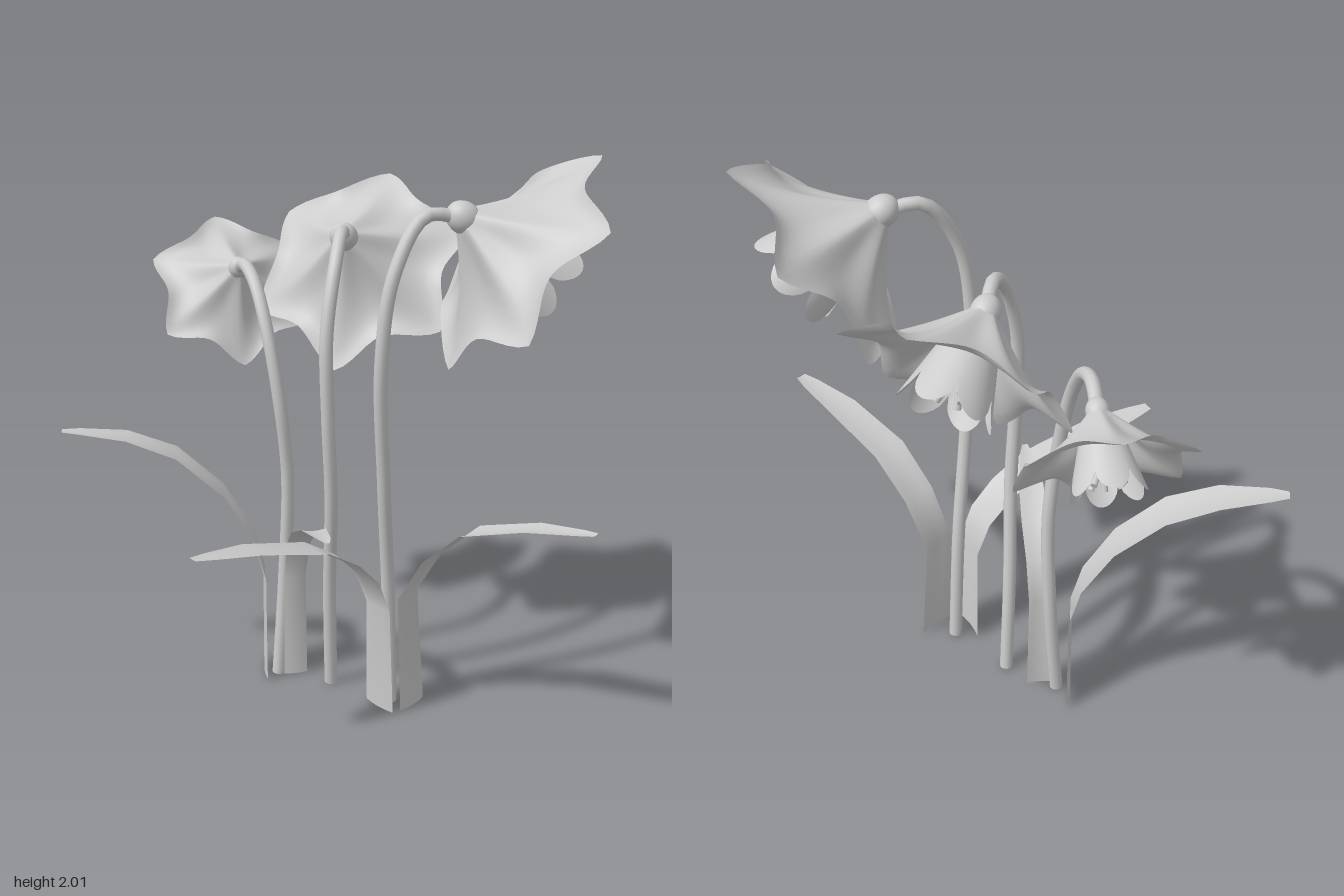
import * as THREE from 'three';

const V = (a) => new THREE.Vector3(...a);
const material = new THREE.MeshStandardMaterial({ color: 0xcccccc });
const thin = new THREE.MeshStandardMaterial({ color: 0xcccccc, side: THREE.DoubleSide });

function addMesh(parent, name, geometry, mat = material) {
  const mesh = new THREE.Mesh(geometry, mat);
  mesh.name = name;
  parent.add(mesh);
  return mesh;
}

// Grid surface from a rule point(u, v); closed in u when wrap is set
function surface(nu, nv, wrap, point) {
  const cols = wrap ? nu : nu + 1;
  const positions = [], index = [];
  for (let j = 0; j <= nv; j++) {
    for (let i = 0; i < cols; i++) positions.push(...point(i / nu, j / nv));
  }
  for (let j = 0; j < nv; j++) {
    for (let i = 0; i < nu; i++) {
      const a = j * cols + i, b = j * cols + (i + 1) % cols;
      index.push(a, a + cols, b, b, a + cols, b + cols);
    }
  }
  const g = new THREE.BufferGeometry();
  g.setAttribute('position', new THREE.Float32BufferAttribute(positions, 3));
  g.setIndex(index);
  g.computeVertexNormals();
  return g;
}

// Six-pointed outer trumpet, unit radius, opening along +y
function corollaGeometry() {
  return surface(72, 12, true, (u, t) => {
    const a = u * Math.PI * 2;
    const p = 1 - Math.abs(Math.sin(3 * a)) ** 1.3;
    const r = 0.1 + (0.69 + 0.21 * p) * t;
    const h = 0.63 * (1 - (1 - t) ** (1.6 - 0.2 * p)) - 0.15 * (1 - p) * t * t;
    return [r * Math.cos(a), h, r * Math.sin(a)];
  });
}

// Inner cup with six rounded lobes
function coronaGeometry() {
  return surface(72, 8, true, (u, t) => {
    const a = u * Math.PI * 2;
    const lobe = Math.abs(Math.cos(3 * a)) ** 0.6;
    const r = 0.18 + (0.16 + 0.06 * lobe) * t;
    const h = 0.12 + (0.55 + 0.22 * lobe) * t;
    return [r * Math.cos(a), h, r * Math.sin(a)];
  });
}

// Flower placed at its ball, facing axis, with one petal towards tip
function makeFlower(name, base, axis, tip, radius) {
  const flower = new THREE.Group();
  flower.name = name;
  addMesh(flower, 'petals', corollaGeometry(), thin);
  addMesh(flower, 'innerCup', coronaGeometry(), thin);
  const ovary = addMesh(flower, 'ovary', new THREE.SphereGeometry(0.125, 20, 14));
  ovary.scale.y = 1.2;

  // Stamens: a curved filament and a short anther each
  for (let i = 0; i < 6; i++) {
    const stamen = new THREE.Group();
    stamen.name = 'stamen';
    stamen.rotation.y = (i / 6) * Math.PI * 2;
    const path = new THREE.CatmullRomCurve3([V([0.03, 0.05, 0]), V([0.06, 0.42, 0]), V([0.14, 0.7, 0])]);
    addMesh(stamen, 'filament', new THREE.TubeGeometry(path, 6, 0.015, 6));
    const anther = addMesh(stamen, 'anther', new THREE.CylinderGeometry(0.036, 0.036, 0.13, 8));
    anther.position.set(0.15, 0.72, 0);
    anther.rotation.z = -0.5;
    flower.add(stamen);
  }

  const y = V(axis).normalize();
  const x = V(tip).addScaledVector(y, -V(tip).dot(y)).normalize();
  const z = new THREE.Vector3().crossVectors(x, y);
  flower.quaternion.setFromRotationMatrix(new THREE.Matrix4().makeBasis(x, y, z));
  flower.position.set(...base);
  flower.scale.setScalar(radius);
  return flower;
}

// Slightly channelled strap leaf: path holds [outward distance, height, width]
function makeLeaf(name, base, dir, path) {
  const d = V([dir[0], 0, dir[1]]).normalize();
  const side = new THREE.Vector3(d.z, 0, -d.x);
  const n = path.length - 1;
  const geometry = surface(4, n, false, (u, t) => {
    const k = Math.round(t * n);
    const [out, h, w] = path[k];
    const a = path[Math.max(k - 1, 0)], b = path[Math.min(k + 1, n)];
    const len = Math.hypot(b[0] - a[0], b[1] - a[1]);
    const s = u * 2 - 1;
    const lift = 0.06 * w * (s * s - 0.5);
    const o = out - ((b[1] - a[1]) / len) * lift;
    const p = V(base).addScaledVector(d, o).addScaledVector(side, (s * w) / 2);
    return [p.x, Math.max(0, h + ((b[0] - a[0]) / len) * lift), p.z];
  });
  return addMesh(new THREE.Group(), name, geometry, thin);
}

export function createModel() {
  const model = new THREE.Group();
  model.name = 'floweringPlant';

  // Stems end at the flower balls
  const plants = [
    { name: 'right', axis: [-0.62, -0.615, -0.49], tip: [-0.155, 0.245, -0.11], radius: 0.315,
      stem: [[-0.31, 0, -0.06], [-0.3, 0.4, -0.09], [-0.275, 0.8, -0.08], [-0.28, 1.1, -0.04],
        [-0.34, 1.35, -0.05], [-0.43, 1.5, -0.1], [-0.52, 1.545, -0.16], [-0.61, 1.51, -0.235]] },
    { name: 'middle', axis: [-0.2, -0.63, -0.75], tip: [-0.05, 0.32, -0.25], radius: 0.41,
      stem: [[-0.1, 0, -0.11], [-0.07, 0.4, -0.06], [-0.02, 0.8, 0], [-0.005, 1.1, 0.04],
        [-0.01, 1.4, 0.04], [-0.03, 1.63, -0.04], [-0.08, 1.725, -0.15], [-0.14, 1.68, -0.25]] },
    { name: 'left', axis: [0.49, -0.6, -0.63], tip: [0.17, 0.355, -0.21], radius: 0.45,
      stem: [[0.17, 0, -0.11], [0.18, 0.5, -0.07], [0.21, 0.9, 0.005], [0.24, 1.35, 0.07],
        [0.265, 1.65, 0.035], [0.31, 1.835, -0.085], [0.39, 1.82, -0.2]] },
  ];
  for (const { name, axis, tip, radius, stem } of plants) {
    const curve = new THREE.CatmullRomCurve3(stem.map(V));
    addMesh(model, name + 'Stem', new THREE.TubeGeometry(curve, 48, 0.024, 10), thin);
    model.add(makeFlower(name + 'Flower', stem[stem.length - 1], axis, tip, radius));
  }

  // Arching leaves around the base
  model.add(
    makeLeaf('rightLeaf', [-0.365, 0, -0.05], [-0.58, 0.47], [[0, 0, 0.18], [0, 0.4, 0.145], [0.04, 0.55, 0.145],
      [0.15, 0.73, 0.155], [0.32, 0.88, 0.16], [0.5, 0.95, 0.14], [0.67, 0.972, 0.08], [0.735, 0.977, 0.04]]),
    makeLeaf('smallLeaf', [-0.25, 0, -0.09], [0.75, 0.65], [[0, 0, 0.09], [0, 0.4, 0.08], [0.06, 0.55, 0.09],
      [0.17, 0.64, 0.1], [0.31, 0.7, 0.09], [0.46, 0.725, 0.05], [0.52, 0.73, 0.02]]),
    makeLeaf('frontLeaf', [0.165, 0, -0.04], [-0.24, 0.76], [[0, 0, 0.155], [0.01, 0.4, 0.135], [0.06, 0.52, 0.14],
      [0.15, 0.61, 0.145], [0.28, 0.685, 0.15], [0.55, 0.745, 0.13], [0.72, 0.763, 0.075], [0.79, 0.77, 0.04]]),
    makeLeaf('leftLeaf', [0.26, 0, -0.125], [1, 0.01], [[0, 0, 0.15], [-0.025, 0.43, 0.125], [0.08, 0.6, 0.135],
      [0.23, 0.73, 0.14], [0.48, 0.8, 0.12], [0.66, 0.823, 0.07], [0.72, 0.83, 0.04]]),
  );
  return model;
}
